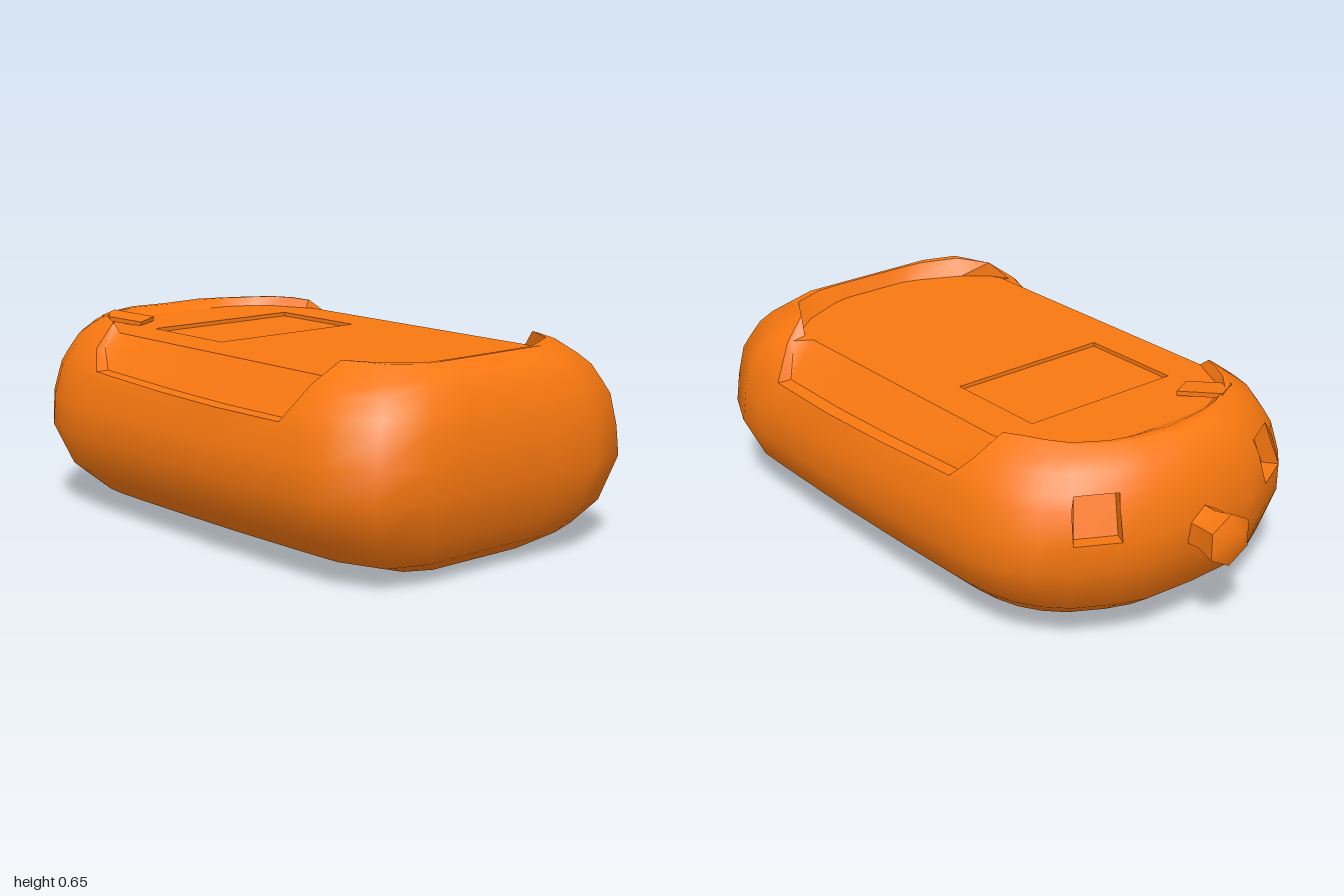
import * as THREE from 'three';
import { toCreasedNormals } from 'three/addons/utils/BufferGeometryUtils.js';

const material = new THREE.MeshStandardMaterial({ color: 0xf97810, side: THREE.DoubleSide });

// Side profile: height, half width, front z, rear z
const PROFILE = [
  [0, 0.25, 0.79, 0.58], [0.015, 0.31, 0.84, 0.63], [0.065, 0.47, 0.915, 0.73],
  [0.14, 0.55, 0.97, 0.83], [0.28, 0.617, 1, 0.865], [0.38, 0.6, 1, 0.88],
  [0.48, 0.58, 0.985, 0.85], [0.52, 0.555, 0.97, 0.835], [0.575, 0.52, 0.945, 0.805],
  [0.61, 0.475, 0.92, 0.77], [0.655, 0.42, 0.86, 0.68],
];

// Half plan outline from front to rear: u, v, rim height, deck edge x, deck edge z
const OUTLINE = [
  [0, 1, 0.65, 0, 0.83], [0.3, 1, 0.65, 0.12, 0.83], [0.58, 1, 0.65, 0.18, 0.815],
  [0.85, 0.95, 0.655, 0.33, 0.745], [0.97, 0.79, 0.655, 0.41, 0.68], [0.98, 0.69, 0.59, 0.43, 0.63],
  [0.985, 0.6, 0.48, 0.43, 0.58], [1, 0.3, 0.48, 0.43, 0.29], [1, 0, 0.485, 0.43, 0],
  [0.99, -0.41, 0.495, 0.43, -0.35], [0.985, -0.5, 0.56, 0.43, -0.4], [0.965, -0.6, 0.63, 0.415, -0.43],
  [0.92, -0.7, 0.635, 0.39, -0.48], [0.84, -0.79, 0.635, 0.36, -0.55], [0.72, -0.87, 0.632, 0.315, -0.6],
  [0.5, -0.95, 0.63, 0.22, -0.645], [0.33, -0.99, 0.63, 0.15, -0.655], [0, -1, 0.625, 0, -0.66],
];
const POCKET = 14; // outline segment holding the rear corner pocket
const DECK_Y = 0.603;

const mirrored = OUTLINE.slice(1, -1).reverse().map(([u, v, h, x, z]) => [-u, v, h, -x, z]);
const ring = [...OUTLINE, ...mirrored];
const N = ring.length;

// Point on the shell for an outline entry at height y
function shellPoint([u, v], y) {
  let k = 1;
  while (k < PROFILE.length - 1 && PROFILE[k][0] < y) k++;
  const a = PROFILE[k - 1], b = PROFILE[k], t = (y - a[0]) / (b[0] - a[0]);
  const at = (j) => THREE.MathUtils.lerp(a[j], b[j], t);
  return new THREE.Vector3(u * at(1), y, v > 0 ? v * at(2) : v * at(3));
}

function fromTriangles(points, crease) {
  const g = new THREE.BufferGeometry().setFromPoints(points);
  return toCreasedNormals(g, crease);
}

const quad = (out, a, b, c, d) => out.push(a, b, c, a, c, d);

function add(group, name, geometry) {
  const mesh = new THREE.Mesh(geometry, material);
  mesh.name = name;
  group.add(mesh);
  return mesh;
}

function buildShell(group) {
  const rows = PROFILE.map(([y]) => ring.map((p) => shellPoint(p, Math.min(y, p[2]))));
  const shell = [], pockets = [], rim = [];
  const base = new THREE.Vector3(0, 0, 0.1);
  const top = rows[rows.length - 1];
  const deck = ring.map((p) => new THREE.Vector3(p[3], DECK_Y, p[4]));
  const lip = top.map((p, i) => p.clone().lerp(deck[i], 0.35).setY(p.y));

  for (let i = 0; i < N; i++) {
    const j = (i + 1) % N;
    shell.push(base, rows[0][j], rows[0][i]);
    for (let r = 0; r < rows.length - 1; r++) {
      const q = [rows[r][i], rows[r][j], rows[r + 1][j], rows[r + 1][i]];
      const inPocket = (i === POCKET || i === N - 1 - POCKET) && (r === 5 || r === 6);
      if (!inPocket) quad(shell, ...q);
      else if (r === 5) {
        // Recessed corner pocket spanning two rows
        const outer = [q[0], q[1], rows[7][j], rows[7][i]];
        const inward = new THREE.Vector3(-Math.sign(q[0].x + q[1].x) * 0.025, -0.005, 0.05);
        const inner = outer.map((p) => p.clone().add(inward));
        quad(pockets, ...inner);
        outer.forEach((p, k) => quad(pockets, p, outer[(k + 1) % 4], inner[(k + 1) % 4], inner[k]));
      }
    }
    // Rim ledge and the sloped wall between rim and deck
    quad(rim, top[i], top[j], lip[j], lip[i]);
    quad(rim, lip[i], lip[j], deck[j], deck[i]);
  }
  add(group, 'bodyShell', fromTriangles(shell, 1.0));
  add(group, 'rearPockets', fromTriangles(pockets, 0.3));
  add(group, 'rim', fromTriangles(rim, 0.6));
}

function buildDeck(group) {
  const depth = 0.015;
  const shape = new THREE.Shape(ring.map((p) => new THREE.Vector2(p[3], -p[4])));
  shape.holes.push(new THREE.Path([[-0.285, 0.04], [-0.285, 0.4], [0.285, 0.4], [0.285, 0.04]]
    .map(([x, y]) => new THREE.Vector2(x, y))));
  const deck = new THREE.ExtrudeGeometry(shape, { depth, bevelEnabled: false });
  add(group, 'deck', deck.rotateX(-Math.PI / 2).translate(0, DECK_Y - depth, 0));

  // Sunken panel in the deck
  const panel = new THREE.PlaneGeometry(0.57, 0.36).rotateX(-Math.PI / 2);
  add(group, 'deckPanel', panel.translate(0, DECK_Y - depth + 0.002, -0.22));
}

export function createModel() {
  const group = new THREE.Group();
  group.name = 'lowVessel';
  buildShell(group);
  buildDeck(group);

  // Small strap at the rear corner of the deck
  const strap = add(group, 'deckStrap', new THREE.BoxGeometry(0.1, 0.015, 0.15));
  strap.position.set(-0.275, 0.618, -0.575);
  strap.rotation.set(0.12, 0.5, 0);

  // Flared six-sided nozzle at the rear
  const profile = [[0.075, 0], [0.07, 0.07], [0.088, 0.14], [0.04, 0.16], [0, 0.16]]
    .map(([r, y]) => new THREE.Vector2(r, y));
  const nozzle = toCreasedNormals(new THREE.LatheGeometry(profile, 6), 0.6);
  add(group, 'rearNozzle', nozzle.rotateX(-Math.PI / 2).translate(0, 0.345, -0.84));
  return group;
}
